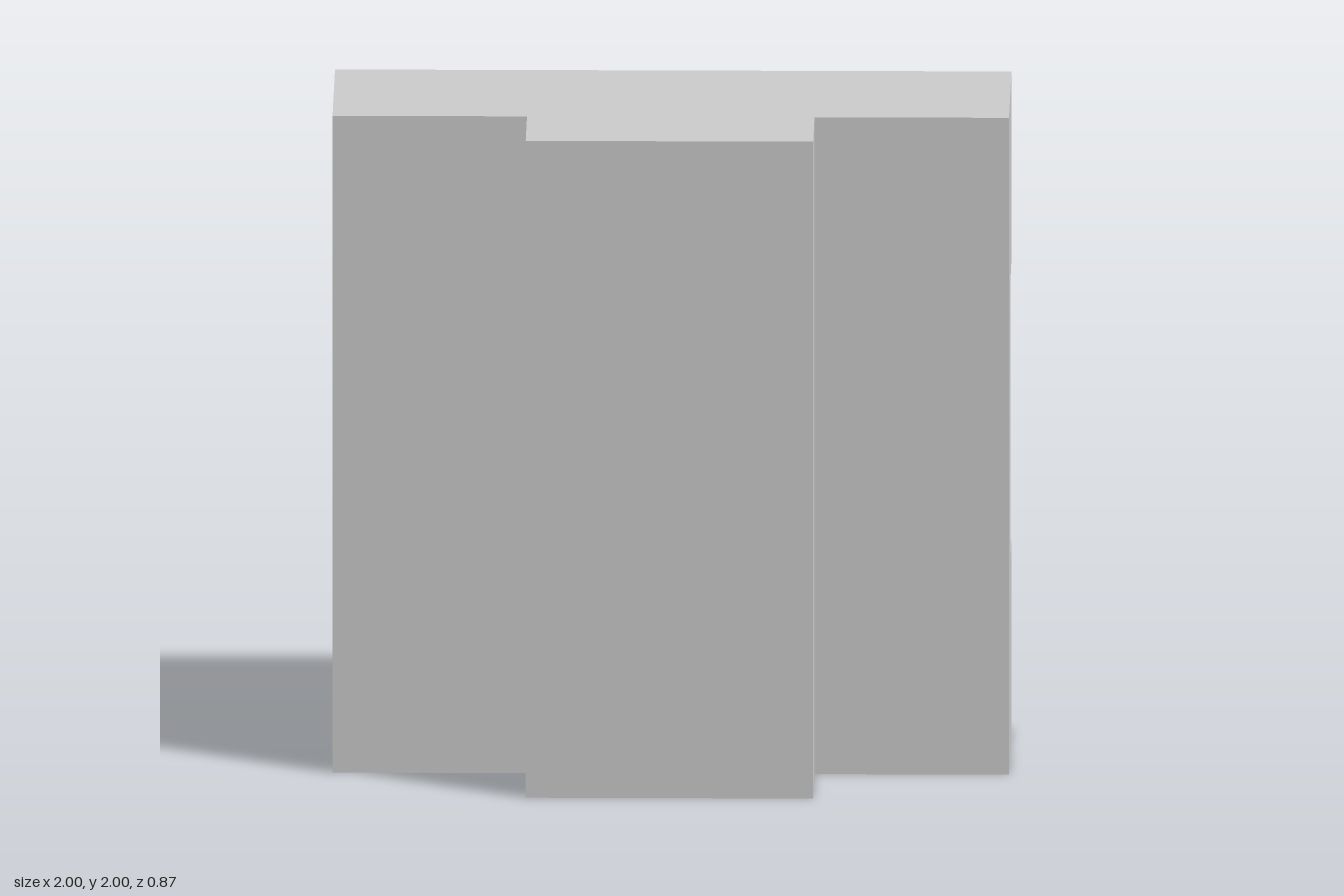
import * as THREE from 'three';

const material = new THREE.MeshStandardMaterial({ color: 0xcccccc });
const wellMaterial = new THREE.MeshStandardMaterial({ color: 0xcccccc, side: THREE.DoubleSide });

const HOLE_RADIUS = 0.05, HOLE_DEPTH = 0.28;

// Front of the block with its raised rail, as [x, z] from -x to +x
const frontPath = [[-1, 0.135], [-0.425, 0.135], [-0.425, 0.437], [0.425, 0.437], [0.425, 0.135], [1, 0.135]];
// Back of the block with its cross groove, as [z, y] going up
const backPath = [[-0.437, 0], [-0.437, 0.575], [-0.16, 0.575], [-0.16, 1.425], [-0.437, 1.425], [-0.437, 2]];

// Flat walls swept along a path; place(point, end) gives the 3D corner at either end of the sweep
function walls(name, path, place) {
  const pos = [];
  for (let i = 0; i < path.length - 1; i++) {
    const a = place(path[i], 0), b = place(path[i + 1], 0);
    const c = place(path[i + 1], 1), d = place(path[i], 1);
    pos.push(...a, ...b, ...c, ...a, ...c, ...d);
  }
  const geo = new THREE.BufferGeometry();
  geo.setAttribute('position', new THREE.Float32BufferAttribute(pos, 3));
  geo.computeVertexNormals();
  const mesh = new THREE.Mesh(geo, material);
  mesh.name = name;
  return mesh;
}

// End face lying in its local xy plane, with blind holes sunk towards local -z
function endFace(name, outline, holes = []) {
  const group = new THREE.Group();
  group.name = name;
  const shape = new THREE.Shape(outline.map(([u, v]) => new THREE.Vector2(u, v)));
  for (const [u, v] of holes) {
    shape.holes.push(new THREE.Path().absarc(u, v, HOLE_RADIUS, 0, Math.PI * 2, true));
    const bore = new THREE.Mesh(
      new THREE.CylinderGeometry(HOLE_RADIUS, HOLE_RADIUS, HOLE_DEPTH, 24, 1, true).rotateX(Math.PI / 2),
      wellMaterial);
    bore.position.set(u, v, -HOLE_DEPTH / 2);
    bore.name = 'holeWall';
    const floor = new THREE.Mesh(new THREE.CircleGeometry(HOLE_RADIUS, 24), material);
    floor.position.set(u, v, -HOLE_DEPTH);
    floor.name = 'holeFloor';
    group.add(bore, floor);
  }
  const face = new THREE.Mesh(new THREE.ShapeGeometry(shape, 12), material);
  face.name = name + 'Plate';
  group.add(face);
  return group;
}

export function createModel() {
  const model = new THREE.Group();
  model.name = 'slideBlock';

  // Swept walls: rail side and groove side
  model.add(walls('frontWithRail', frontPath, ([x, z], end) => [x, end * 2, z]));
  model.add(walls('backWithGroove', backPath, ([z, y], end) => [end * 2 - 1, y, z]));

  // Closed outlines of the end faces
  const tee = [...frontPath, [1, -0.437], [-1, -0.437]];
  const channel = [...backPath, [0.135, 2], [0.135, 0]];
  const flipU = ([u, v]) => [-u, v];
  const flipV = ([u, v]) => [u, -v];

  // Top and drilled bottom
  const top = endFace('top', tee.map(flipV));
  top.rotation.x = -Math.PI / 2;
  top.position.y = 2;
  const bottom = endFace('bottom', tee, [-0.6, -0.33, 0.33, 0.6].map(x => [x, -0.15]));
  bottom.rotation.x = Math.PI / 2;

  // Plain side at +x and drilled side at -x
  const plainSide = endFace('plainSide', channel.map(flipU));
  plainSide.rotation.y = Math.PI / 2;
  plainSide.position.x = 1;
  const drilledSide = endFace('drilledSide', channel, [0.52, 0.72, 1.28, 1.48].map(y => [0.01, y]));
  drilledSide.rotation.y = -Math.PI / 2;
  drilledSide.position.x = -1;

  model.add(top, bottom, plainSide, drilledSide);
  return model;
}
